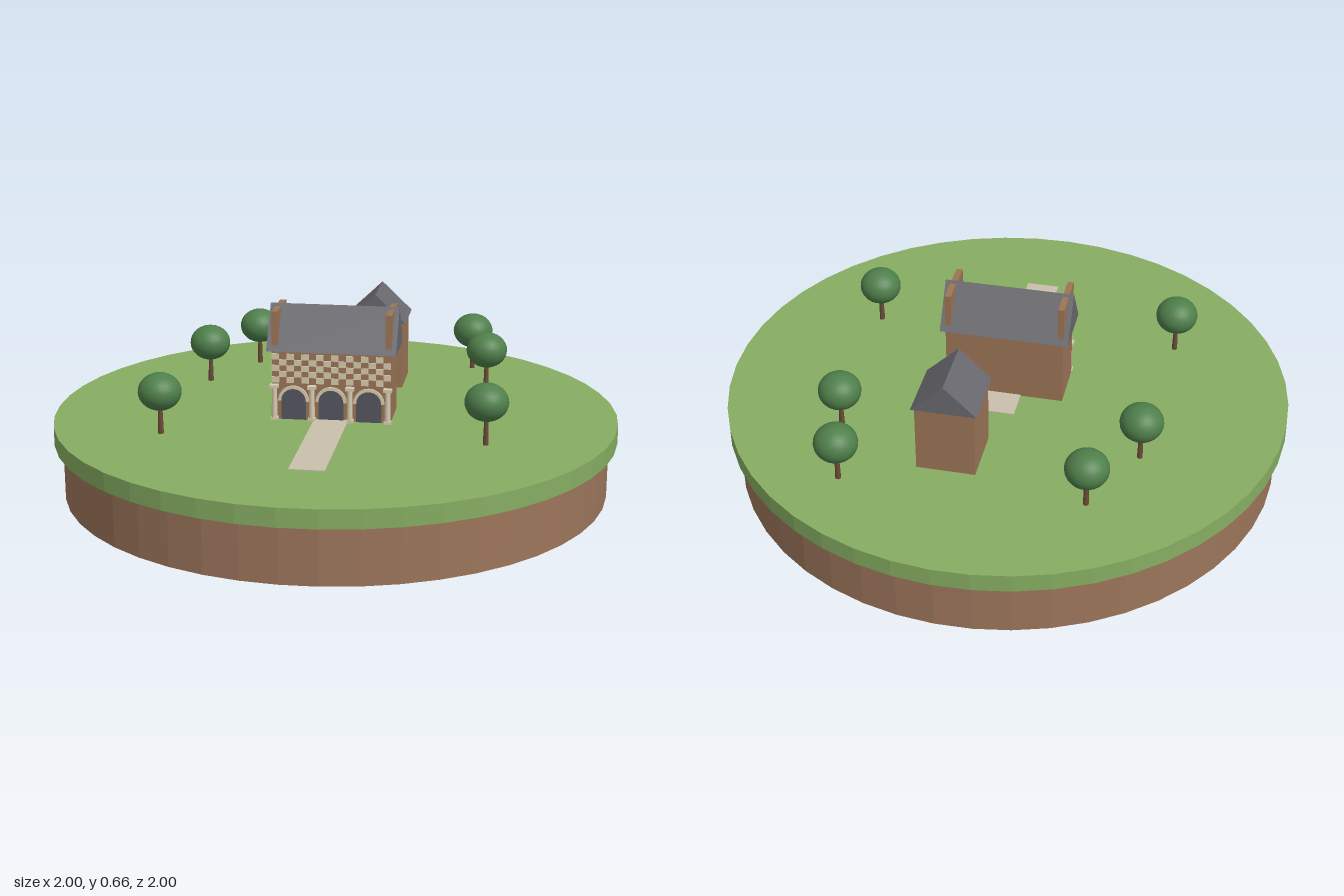
import * as THREE from 'three';

const mat = (name, color) => {
  const m = new THREE.MeshStandardMaterial({ color });
  m.name = name;
  return m;
};

export function createModel() {
  const grass = mat('grass green', 0x86ad62);
  const soil = mat('soil brown', 0x9c755b);
  const brick = mat('brick', 0x9c7556);
  const slate = mat('slate grey', 0x68686e);
  const cream = mat('cream stone', 0xd8ccb0);
  const dark = mat('dark opening', 0x55575f);
  const paving = mat('path stone', 0xc9c0ac);
  const leaf = mat('leaf green', 0x4f7f4b);
  const bark = mat('bark', 0x6b4a38);

  const root = new THREE.Group();
  root.name = 'villageIsland';
  const GROUND = 0.265, TURN = -0.355;

  const add = (parent, name, geo, material, x = 0, y = 0, z = 0) => {
    const m = new THREE.Mesh(geo, material);
    m.name = name;
    m.position.set(x, y, z);
    parent.add(m);
    return m;
  };
  const box = (parent, name, material, w, h, d, x, y, z) =>
    add(parent, name, new THREE.BoxGeometry(w, h, d), material, x, y, z);

  // Faceted disc with a flat normal on each side
  const disc = (r, h) => {
    const g = new THREE.CylinderGeometry(r, r, h, 48).toNonIndexed();
    g.computeVertexNormals();
    return g;
  };
  // Triangular roof, ridge along z
  const roofGeo = (width, height, length) => {
    const s = new THREE.Shape();
    s.moveTo(-width / 2, 0);
    s.lineTo(width / 2, 0);
    s.lineTo(0, height);
    s.closePath();
    return new THREE.ExtrudeGeometry(s, { depth: length, bevelEnabled: false })
      .translate(0, 0, -length / 2);
  };
  // Round-headed panel, base at y = 0
  const archGeo = (w, h, depth) => {
    const r = w / 2, s = new THREE.Shape();
    s.moveTo(-r, 0);
    s.lineTo(r, 0);
    s.lineTo(r, h - r);
    s.absarc(0, h - r, r, 0, Math.PI, false);
    s.closePath();
    return new THREE.ExtrudeGeometry(s, { depth, bevelEnabled: false, curveSegments: 10 });
  };
  // Half ring around the head of an arch
  const ringGeo = (inner, outer, depth) => {
    const s = new THREE.Shape();
    s.absarc(0, 0, outer, 0, Math.PI, false);
    s.absarc(0, 0, inner, Math.PI, 0, true);
    s.closePath();
    return new THREE.ExtrudeGeometry(s, { depth, bevelEnabled: false, curveSegments: 10 });
  };

  // Ground
  add(root, 'soilBase', disc(0.97, 0.2), soil, 0, 0.1, 0);
  add(root, 'grassDisc', disc(1, 0.065), grass, 0, 0.2325, 0);

  // Main hall
  const hall = new THREE.Group();
  hall.name = 'mainHall';
  hall.position.set(-0.01, GROUND, 0.032);
  hall.rotation.y = TURN;
  root.add(hall);
  box(hall, 'hallPath', paving, 0.12, 0.004, 0.83, 0, 0.002, 0.21);
  box(hall, 'hallWalls', brick, 0.42, 0.248, 0.18, 0, 0.124, 0);
  add(hall, 'hallRoof', roofGeo(0.207, 0.15, 0.456), slate, 0, 0.247, 0).rotation.y = Math.PI / 2;
  for (const side of [-1, 1]) {
    box(hall, 'gableParapet', brick, 0.022, 0.145, 0.18, side * 0.2, 0.315, 0);
  }

  // Arcade of three arched openings between four columns
  const FRONT = 0.09;
  for (const x of [-0.133, 0, 0.133]) {
    add(hall, 'archOpening', archGeo(0.088, 0.112, 0.004), dark, x, 0, FRONT);
    add(hall, 'archTrim', ringGeo(0.044, 0.055, 0.008), cream, x, 0.068, FRONT);
  }
  for (const x of [-0.2, -0.067, 0.067, 0.2]) {
    add(hall, 'column', new THREE.CylinderGeometry(0.009, 0.011, 0.12, 12), cream, x, 0.06, 0.1);
    box(hall, 'columnBase', cream, 0.026, 0.01, 0.024, x, 0.005, 0.1);
    box(hall, 'columnCapital', cream, 0.03, 0.011, 0.026, x, 0.122, 0.101);
  }

  // Chequered stonework above the arcade
  const cols = 16, rows = 5, tw = 0.42 / cols, th = 0.021;
  for (let r = 0; r < rows; r++) {
    for (let c = r % 2; c < cols; c += 2) {
      box(hall, 'chequerStone', cream, tw, th, 0.006,
        -0.21 + tw * (c + 0.5), 0.133 + th * (r + 0.5), FRONT + 0.002);
    }
  }

  // Small house behind the hall
  const house = new THREE.Group();
  house.name = 'smallHouse';
  house.position.set(0.241, GROUND, -0.356);
  house.rotation.y = TURN;
  root.add(house);
  box(house, 'houseWalls', brick, 0.204, 0.25, 0.204, 0, 0.125, 0);
  add(house, 'houseRoof', roofGeo(0.225, 0.107, 0.225), slate, 0, 0.249, 0);
  for (const x of [-0.042, 0.042]) {
    add(house, 'archedWindow', archGeo(0.04, 0.085, 0.005), dark, x, 0.118, 0.102);
  }

  // Trees
  const crown = new THREE.SphereGeometry(0.075, 24, 16).scale(1, 0.87, 1);
  const trunk = new THREE.CylinderGeometry(0.007, 0.01, 0.11, 8);
  const spots = [[-0.16, -0.685], [-0.385, -0.472], [-0.642, 0.133],
    [0.413, 0.483], [0.605, -0.15], [0.636, -0.435]];
  for (const [x, z] of spots) {
    const tree = new THREE.Group();
    tree.name = 'tree';
    tree.position.set(x, GROUND, z);
    add(tree, 'trunk', trunk, bark, 0, 0.055, 0);
    add(tree, 'crown', crown, leaf, 0, 0.15, 0);
    root.add(tree);
  }
  return root;
}
